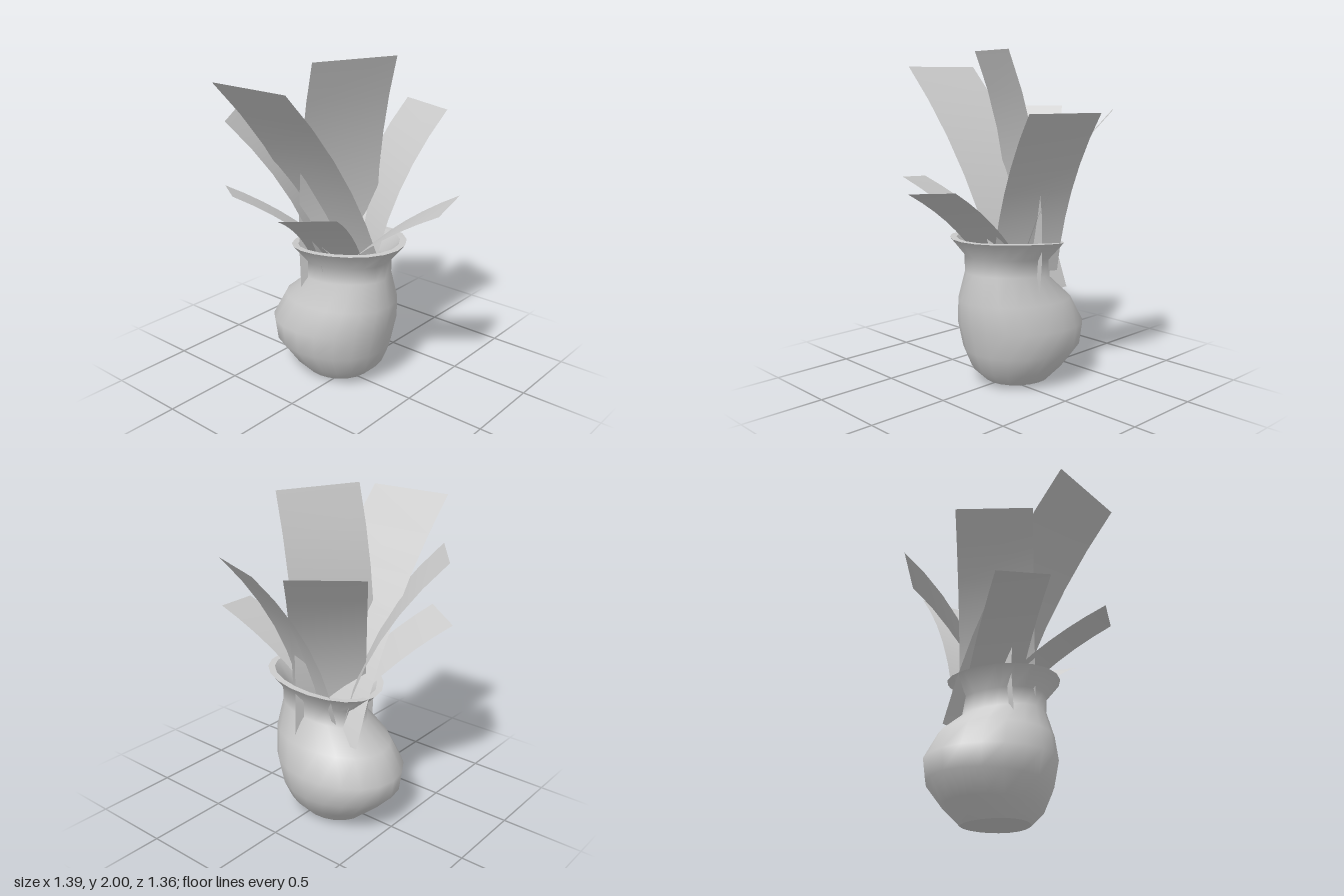
import * as THREE from 'three';

const SIDES = 20;

// Surface through tilted oval rings: [leftX, leftY, rightX, rightY, halfDepth]
function loft(rings) {
  const pos = [], idx = [];
  for (const [xl, yl, xr, yr, hz] of rings) {
    for (let j = 0; j < SIDES; j++) {
      const a = (j / SIDES) * Math.PI * 2;
      const t = (1 + Math.cos(a)) / 2;
      pos.push(xl + (xr - xl) * t, yl + (yr - yl) * (1 - (1 - t) ** 2), Math.sin(a) * hz - 0.025);
    }
  }
  for (let i = 0; i < rings.length - 1; i++) {
    for (let j = 0; j < SIDES; j++) {
      const k = (j + 1) % SIDES;
      const a = i * SIDES + j, b = i * SIDES + k, c = a + SIDES, d = b + SIDES;
      idx.push(a, c, b, b, c, d);
    }
  }
  return finish(pos, idx);
}

function finish(pos, idx) {
  const g = new THREE.BufferGeometry();
  g.setAttribute('position', new THREE.Float32BufferAttribute(pos, 3));
  g.setIndex(idx);
  g.computeVertexNormals();
  return g;
}

// Curved rectangular strip from tip corners p and q ([x, y, z]) back to a level base
function leafGeometry(p, q, run, baseY, bendOut, bendUp, steps = 6) {
  const dx = q[0] - p[0], dz = q[2] - p[2], len = Math.hypot(dx, dz);
  const out = [dz / len, -dx / len];
  const pos = [], idx = [];
  for (let i = 0; i <= steps; i++) {
    const t = i / steps;
    const r = 2 * t * (1 - t) * bendOut + t * t;
    const h = 2 * t * (1 - t) * bendUp + t * t;
    for (const c of [p, q]) {
      const back = run * (1 - r);
      pos.push(c[0] - out[0] * back, baseY + (c[1] - baseY) * h, c[2] - out[1] * back);
    }
    if (i < steps) {
      const a = i * 2;
      idx.push(a, a + 1, a + 2, a + 1, a + 3, a + 2);
    }
  }
  return finish(pos, idx);
}

export function createModel() {
  const model = new THREE.Group();
  const potMat = new THREE.MeshStandardMaterial({ color: 0xcccccc });
  const leafMat = new THREE.MeshStandardMaterial({ color: 0xcccccc, side: THREE.DoubleSide });
  const add = (parent, name, geometry, material) => {
    const mesh = new THREE.Mesh(geometry, material);
    mesh.name = name;
    parent.add(mesh);
  };

  // Lopsided pot with a sagging belly and flared rim
  const pot = new THREE.Group();
  pot.name = 'pot';
  const foot = [-0.28, 0.0, 0.13, 0.02, 0.19];
  const rim = [-0.37, 0.84, 0.37, 0.92, 0.315];
  const lip = [-0.33, 0.84, 0.33, 0.92, 0.275];
  const floor = [-0.36, 0.28, 0.2, 0.28, 0.25];
  add(pot, 'potWall', loft([
    foot,
    [-0.4, 0.105, 0.215, 0.1, 0.27],
    [-0.51, 0.22, 0.262, 0.22, 0.337],
    [-0.525, 0.34, 0.297, 0.38, 0.36],
    [-0.44, 0.5, 0.315, 0.54, 0.302],
    [-0.28, 0.63, 0.28, 0.71, 0.228],
    [-0.27, 0.74, 0.28, 0.81, 0.232],
    rim,
  ]), potMat);
  add(pot, 'potBase', loft([[-0.075, 0.015, -0.075, 0.015, 0], foot]), potMat);
  add(pot, 'potLip', loft([rim, lip]), potMat);
  add(pot, 'potInside', loft([
    lip,
    [-0.24, 0.74, 0.25, 0.81, 0.2],
    [-0.25, 0.63, 0.25, 0.71, 0.195],
    [-0.4, 0.48, 0.28, 0.53, 0.27],
    floor,
  ]), potMat);
  add(pot, 'potFloor', loft([floor, [-0.08, 0.28, -0.08, 0.28, 0]]), potMat);
  model.add(pot);

  // Leaves: tip corners, horizontal reach, base height, bend
  const leaves = new THREE.Group();
  leaves.name = 'leaves';
  const sets = {
    tallLeaf: [
      [[0.19, 2, -0.225], [-0.01, 2, 0.27], 0.195, 0.56, -0.4, 0.52],
      [[0.18, 1.91, 0.675], [-0.36, 1.91, 0.675], 0.855, 0.56, 0.3, 0.56],
    ],
    middleLeaf: [
      [[-0.44, 1.66, 0.53], [-0.7, 1.66, 0.18], 0.56, 0.69, 0.2, 0.55],
      [[-0.06, 1.66, -0.68], [0.34, 1.66, -0.53], 0.5, 0.69, 0.2, 0.55],
      [[-0.56, 1.66, -0.36], [-0.22, 1.66, -0.62], 0.52, 0.69, 0.2, 0.55],
    ],
    lowLeaf: [
      [[0.62, 1.25, -0.27], [0.69, 1.22, 0.045], 0.6, 0.8, 0.4, 0.58],
      [[-0.35, 1.25, 0.58], [-0.61, 1.22, 0.4], 0.6, 0.8, 0.4, 0.58],
      [[0.37, 1.25, 0.51], [0.08, 1.22, 0.655], 0.6, 0.8, 0.4, 0.58],
    ],
  };
  for (const [name, list] of Object.entries(sets)) {
    list.forEach((spec, i) => add(leaves, name + (i + 1), leafGeometry(...spec), leafMat));
  }
  model.add(leaves);
  return model;
}
